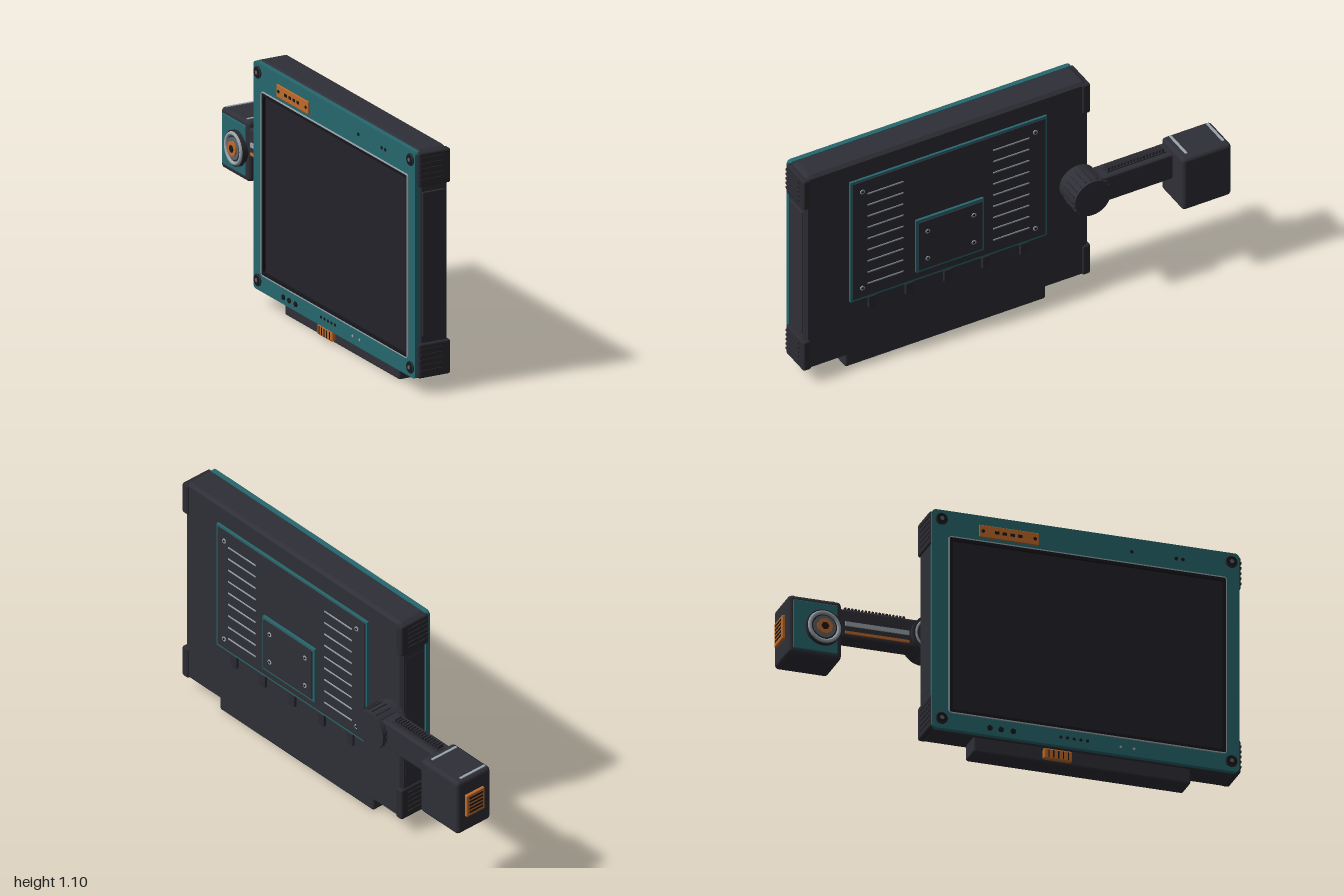
import * as THREE from 'three';
import { RoundedBoxGeometry } from 'three/addons/geometries/RoundedBoxGeometry.js';

const mat = (name, color, side = THREE.FrontSide) => {
  const m = new THREE.MeshStandardMaterial({ color, side });
  m.name = name;
  return m;
};

export function createModel() {
  const M = {
    shell: mat('charcoal shell', 0x2f2f37),
    rubber: mat('black rubber', 0x2a2a31),
    teal: mat('teal trim', 0x26676e),
    screen: mat('dark glass', 0x232329),
    groove: mat('groove black', 0x17171b),
    orange: mat('orange accent', 0xc06a28),
    metal: mat('light metal', 0x9aa5ac),
    steel: mat('grey steel', 0x5c636a),
  };
  const model = new THREE.Group();
  model.name = 'wallDisplay';
  const group = (name) => {
    const g = new THREE.Group();
    g.name = name;
    model.add(g);
    return g;
  };
  const add = (parent, name, geo, m) => {
    const mesh = new THREE.Mesh(geo, m);
    mesh.name = name;
    parent.add(mesh);
    return mesh;
  };
  // Box between limits, rounded when r > 0
  const box = (p, name, m, [x0, x1], [y0, y1], [z0, z1], r = 0) => {
    const s = [x1 - x0, y1 - y0, z1 - z0];
    const geo = r ? new RoundedBoxGeometry(...s, 2, r) : new THREE.BoxGeometry(...s);
    const mesh = add(p, name, geo, m);
    mesh.position.set((x0 + x1) / 2, (y0 + y1) / 2, (z0 + z1) / 2);
    return mesh;
  };
  // Disc or drum whose axis runs along x
  const drum = (p, name, m, x0, x1, y, z, r, seg = 32) => {
    const mesh = add(p, name, new THREE.CylinderGeometry(r, r, x1 - x0, seg).rotateZ(Math.PI / 2), m);
    mesh.position.set((x0 + x1) / 2, y, z);
    return mesh;
  };
  const ring = (p, name, m, x, y, z, r, tube) => {
    const mesh = add(p, name, new THREE.TorusGeometry(r, tube, 8, 32).rotateY(Math.PI / 2), m);
    mesh.position.set(x, y, z);
  };
  const roundRect = (P, z0, z1, y0, y1, r) => {
    const s = new P();
    const a = -z1, b = -z0;
    s.absarc(b - r, y0 + r, r, -Math.PI / 2, 0);
    s.absarc(b - r, y1 - r, r, 0, Math.PI / 2);
    s.absarc(a + r, y1 - r, r, Math.PI / 2, Math.PI);
    s.absarc(a + r, y0 + r, r, Math.PI, Math.PI * 1.5);
    s.closePath();
    return s;
  };
  // Panel in the z-y plane, extruded along x, optionally hollow
  const panel = (p, name, m, [x0, x1], [y0, y1], [z0, z1], r, hole, bevel = 0) => {
    const s = roundRect(THREE.Shape, z0 + bevel, z1 - bevel, y0 + bevel, y1 - bevel, r);
    if (hole) s.holes.push(roundRect(THREE.Path, hole[0], hole[1], hole[2], hole[3], r / 2));
    const geo = new THREE.ExtrudeGeometry(s, {
      depth: x1 - x0 - 2 * bevel, curveSegments: 5, bevelEnabled: bevel > 0,
      bevelThickness: bevel, bevelSize: bevel, bevelSegments: 1,
    });
    geo.rotateY(Math.PI / 2).translate(x0 + bevel, 0, 0);
    return add(p, name, geo, m);
  };
  const MID = 0.295; // centre of the display along z

  // Housing
  const housing = group('housing');
  panel(housing, 'shellBody', M.shell, [-0.16, -0.017], [0.07, 1.1], [-0.4, 0.985], 0.02, null, 0.014);
  box(housing, 'baseRail', M.shell, [-0.14, -0.033], [0.002, 0.09], [-0.2, 0.78], 0.01);
  box(housing, 'railKnob', M.orange, [-0.16, -0.138], [0.012, 0.062], [0.11, 0.24], 0.008);
  for (let i = 0; i < 5; i++) {
    const z = 0.13 + i * 0.022;
    box(housing, 'knobGroove', M.groove, [-0.162, -0.15], [0.02, 0.054], [z, z + 0.005]);
  }
  for (const s of [-1, 1]) {
    const end = MID + s * 0.688;
    box(housing, 'sidePanel', M.shell, [-0.145, -0.035], [0.26, 0.91], [end - 0.008, end + 0.008], 0.004);
    // Corner bumpers with ridged grips
    for (const y of [0.075, 0.935]) {
      const c = MID + s * 0.682;
      box(housing, 'cornerBumper', M.rubber, [-0.166, -0.01], [y, y + 0.155], [c - 0.02, c + 0.02], 0.01);
      for (let i = 0; i < 5; i++) {
        const f = MID + s * 0.7025, ry = y + 0.028 + i * 0.024;
        box(housing, 'gripRidge', M.rubber, [-0.16, -0.05], [ry, ry + 0.009], [f - 0.003, f + 0.003]);
      }
    }
  }

  // Screen side
  const front = group('screenSide');
  panel(front, 'tealBezel', M.teal, [-0.178, -0.155], [0.072, 1.095], [-0.4, 0.985], 0.02, [-0.31, 0.91, 0.165, 0.96]);
  box(front, 'screenGlass', M.screen, [-0.172, -0.155], [0.16, 0.965], [-0.315, 0.915]);
  panel(front, 'screenGasket', M.groove, [-0.182, -0.17], [0.15, 0.975], [-0.325, 0.925], 0.015, [-0.308, 0.908, 0.167, 0.958]);
  panel(front, 'screenEdge', M.metal, [-0.1835, -0.176], [0.148, 0.977], [-0.327, 0.927], 0.015, [-0.322, 0.922, 0.153, 0.972]);
  for (const z of [-0.358, 0.948]) for (const y of [0.118, 1.052]) {
    drum(front, 'cornerScrew', M.groove, -0.188, -0.175, y, z, 0.023, 20);
    ring(front, 'screwCollar', M.rubber, -0.181, y, z, 0.023, 0.005);
    drum(front, 'screwSocket', M.steel, -0.1895, -0.187, y, z, 0.01, 6);
  }
  box(front, 'badgePlate', M.orange, [-0.185, -0.177], [0.993, 1.05], [-0.19, 0.08], 0.003);
  for (const z of [-0.172, 0.062]) drum(front, 'badgeRivet', M.groove, -0.187, -0.184, 1.021, z, 0.008, 12);
  for (let i = 0; i < 4; i++) {
    const z = -0.12 + i * 0.035;
    box(front, 'badgeSlot', M.groove, [-0.187, -0.184], [1.015, 1.028], [z, z + 0.02]);
  }
  for (const z of [-0.14, -0.09, -0.035]) drum(front, 'button', M.groove, -0.183, -0.176, 0.105, z, 0.012, 16);
  for (let i = 0; i < 5; i++) drum(front, 'speakerHole', M.groove, -0.18, -0.176, 0.112, 0.18 + i * 0.03, 0.007, 10);
  for (const z of [0.45, 0.51]) drum(front, 'indicator', M.metal, -0.18, -0.176, 0.108, z, 0.006, 10);
  for (const z of [0.5, 0.7, 0.73]) drum(front, 'sensor', M.groove, -0.18, -0.176, 1.03, z, 0.008, 12);

  // Rear service panel with vents
  const rear = group('rearPanel');
  box(rear, 'panelTrim', M.teal, [-0.02, -0.006], [0.363, 1.002], [-0.19, 0.77]);
  box(rear, 'panelCover', M.shell, [-0.02, -0.002], [0.375, 0.992], [-0.18, 0.76]);
  for (const z of [-0.1, 0.515]) for (let i = 0; i < 9; i++) {
    const y = 0.44 + i * 0.06;
    box(rear, 'ventSlat', M.metal, [-0.004, 0.001], [y - 0.003, y + 0.003], [z, z + 0.175]);
  }
  const screw = (x, y, z) => {
    drum(rear, 'panelScrew', M.metal, x - 0.004, x + 0.002, y, z, 0.011, 14);
    drum(rear, 'screwCentre', M.groove, x, x + 0.003, y, z, 0.006, 6);
  };
  for (const z of [-0.13, 0.715]) for (const y of [0.425, 0.94]) screw(0, y, z);
  box(rear, 'mountTrim', M.teal, [-0.004, 0.01], [0.415, 0.692], [0.128, 0.458]);
  box(rear, 'mountPlate', M.shell, [-0.004, 0.016], [0.428, 0.68], [0.138, 0.448]);
  for (const z of [0.18, 0.405]) for (const y of [0.48, 0.625]) screw(0.017, y, z);
  for (const z of [-0.08, 0.105, 0.293, 0.48, 0.662])
    box(rear, 'cableClip', M.rubber, [-0.025, -0.005], [0.3, 0.362], [z - 0.02, z + 0.02], 0.005);

  // Swing arm
  const arm = group('swingArm');
  const KY = 0.583, KZ = -0.345;
  drum(arm, 'knuckle', M.shell, -0.02, 0.118, KY, KZ, 0.088, 40);
  ring(arm, 'knuckleRing', M.metal, -0.018, KY, KZ, 0.07, 0.006);
  for (let i = 0; i < 20; i++) {
    const a = (i / 20) * Math.PI * 2;
    const rib = box(arm, 'knuckleRib', M.rubber, [0.02, 0.105], [-0.003, 0.003], [-0.004, 0.004]);
    rib.position.set(0.0625, KY + Math.sin(a) * 0.089, KZ + Math.cos(a) * 0.089);
    rib.rotation.x = -a;
  }
  box(arm, 'armBeam', M.shell, [0.002, 0.095], [0.52, 0.652], [-0.76, -0.38], 0.01);
  box(arm, 'armInlay', M.metal, [-0.004, 0.004], [0.572, 0.592], [-0.73, -0.44]);
  box(arm, 'armStripe', M.orange, [-0.004, 0.004], [0.536, 0.548], [-0.73, -0.44]);
  box(arm, 'toothRail', M.rubber, [0.03, 0.07], [0.65, 0.657], [-0.73, -0.44]);
  for (let i = 0; i < 18; i++) {
    const z = -0.72 + i * 0.0155;
    box(arm, 'railTooth', M.rubber, [0.032, 0.066], [0.655, 0.673], [z, z + 0.008]);
  }

  // Head block with round dial and end grille
  const head = group('armHead');
  box(head, 'headBlock', M.shell, [-0.004, 0.187], [0.407, 0.68], [-0.985, -0.745], 0.018);
  box(head, 'headSidePlate', M.teal, [-0.009, 0], [0.43, 0.658], [-0.965, -0.765], 0.004);
  drum(head, 'dial', M.rubber, -0.027, 0, 0.54, -0.832, 0.08, 40);
  ring(head, 'dialRing', M.metal, -0.027, 0.54, -0.832, 0.066, 0.009);
  drum(head, 'dialFace', M.steel, -0.032, -0.02, 0.54, -0.832, 0.05);
  drum(head, 'dialCentre', M.orange, -0.038, -0.03, 0.54, -0.832, 0.034);
  drum(head, 'dialSocket', M.groove, -0.04, -0.037, 0.54, -0.832, 0.018, 6);
  for (const z of [-0.962, -0.782])
    box(head, 'topStrip', M.metal, [0.012, 0.152], [0.678, 0.683], [z - 0.006, z + 0.006]);
  box(head, 'endGrille', M.orange, [0.042, 0.145], [0.49, 0.602], [-0.998, -0.98], 0.005);
  for (let i = 0; i < 5; i++) {
    const y = 0.508 + i * 0.018;
    box(head, 'grilleSlot', M.groove, [0.056, 0.131], [y, y + 0.008], [-1, -0.99]);
  }
  return model;
}
